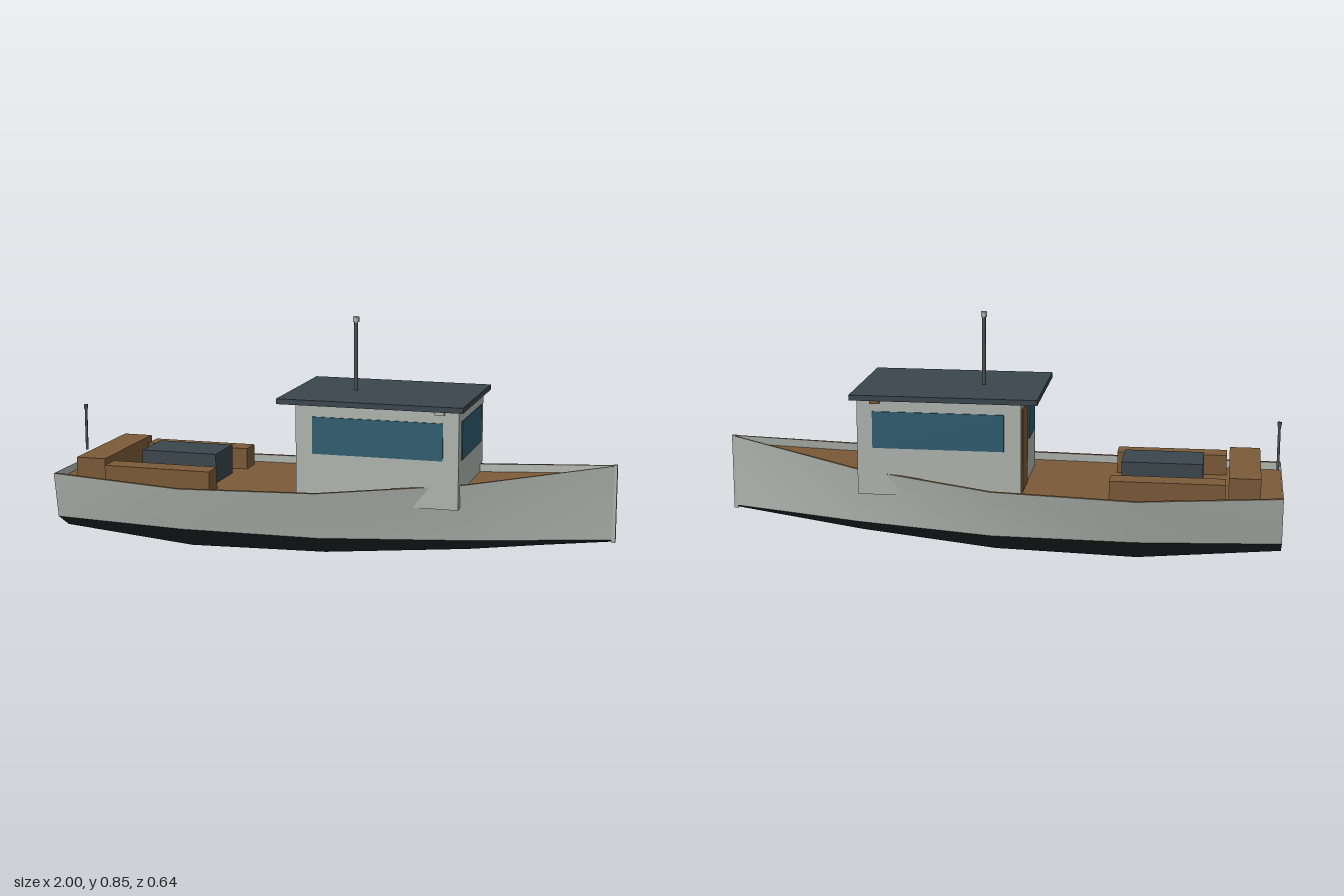
import * as THREE from 'three';

const mat = (name, color) => new THREE.MeshStandardMaterial({ name, color, side: THREE.DoubleSide });

// Hull stations along the length:
// x, sheer [half width, y], waterline half width, chine [half width, y], keel y
const WATERLINE = 0.11;
const STATIONS = [
  { x: -1.0, w: 0.258, top: 0.277, wl: 0.228, cw: 0.145, cy: 0.06, keel: 0.045 },
  { x: -0.5, w: 0.319, top: 0.265, wl: 0.28, cw: 0.175, cy: 0.025, keel: 0.003 },
  { x: 0.0, w: 0.300, top: 0.276, wl: 0.268, cw: 0.165, cy: 0.034, keel: 0.01 },
  { x: 0.5, w: 0.183, top: 0.312, wl: 0.156, cw: 0.095, cy: 0.064, keel: 0.042 },
  { x: 0.995, w: 0.007, top: 0.373, wl: 0.006, cw: 0.004, cy: 0.106, keel: 0.103 },
];
const RAIL = 0.014;
const BULWARK = 0.028;

// Surface through a row of points [z, y] taken at every station
function loft(rowAt) {
  const rows = STATIONS.map(s => rowAt(s).map(([z, y]) => [s.x, y, z]));
  const n = rows[0].length;
  const index = [];
  for (let i = 0; i < rows.length - 1; i++) {
    for (let j = 0; j < n - 1; j++) {
      const a = i * n + j, b = a + n;
      index.push(a, b, a + 1, b, b + 1, a + 1);
    }
  }
  const g = new THREE.BufferGeometry();
  g.setAttribute('position', new THREE.Float32BufferAttribute(rows.flat(2), 3));
  g.setIndex(index);
  g.computeVertexNormals();
  return g;
}

export function createModel() {
  const boat = new THREE.Group();
  boat.name = 'boat';
  const paint = mat('pale grey paint', 0xb0b6b0);
  const bottomPaint = mat('dark bottom paint', 0x1d2628);
  const wood = mat('brown wood', 0x7b5a38);
  const slate = mat('dark slate', 0x3a464d);
  const glass = mat('blue glass', 0x2f5d70);
  const metal = mat('mast grey', 0x4b5354);

  const add = (name, geometry, material, parent = boat) => {
    const m = new THREE.Mesh(geometry, material);
    m.name = name;
    parent.add(m);
    return m;
  };
  // Box given by its limits on each axis
  const box = (name, material, [x0, x1], [y0, y1], [z0, z1], parent) => {
    const m = add(name, new THREE.BoxGeometry(x1 - x0, y1 - y0, z1 - z0), material, parent);
    m.position.set((x0 + x1) / 2, (y0 + y1) / 2, (z0 + z1) / 2);
    return m;
  };
  const pole = (name, material, r, x, y0, y1) => {
    const m = add(name, new THREE.CylinderGeometry(r, r, y1 - y0, 10), material);
    m.position.set(x, (y0 + y1) / 2, 0);
  };

  // Hull
  const inner = s => Math.max(s.w - RAIL, 0.001);
  for (const [label, d] of [['starboard', 1], ['port', -1]]) {
    add(label + 'Topside', loft(s => [[d * s.w, s.top], [d * s.wl, WATERLINE]]), paint);
    add(label + 'Rail', loft(s => [[d * s.w, s.top], [d * inner(s), s.top]]), wood);
    add(label + 'Bulwark', loft(s => [[d * inner(s), s.top], [d * inner(s), s.top - BULWARK]]), paint);
  }
  add('hullBottom', loft(s => [
    [s.wl, WATERLINE], [s.cw, s.cy], [0, s.keel], [-s.cw, s.cy], [-s.wl, WATERLINE],
  ]), bottomPaint);
  add('deck', loft(s => [[inner(s), s.top - BULWARK], [-inner(s), s.top - BULWARK]]), wood);

  // Transom closing the stern
  const a = STATIONS[0];
  const outline = [[a.w, a.top], [a.wl, WATERLINE], [a.cw, a.cy], [0, a.keel],
    [-a.cw, a.cy], [-a.wl, WATERLINE], [-a.w, a.top]];
  const transom = add('transom', new THREE.ShapeGeometry(
    new THREE.Shape(outline.map(([z, y]) => new THREE.Vector2(z, y)))), paint);
  transom.rotation.y = -Math.PI / 2;
  transom.position.x = a.x;
  box('stem', paint, [0.985, 1], [0.1, 0.375], [-0.008, 0.008]);

  // Wheelhouse
  const house = new THREE.Group();
  house.name = 'wheelhouse';
  boat.add(house);
  box('cabinWalls', paint, [-0.095, 0.485], [0.228, 0.574], [-0.21, 0.21], house);
  box('roof', slate, [-0.155, 0.505], [0.573, 0.592], [-0.245, 0.245], house);
  box('frontWindow', glass, [0.483, 0.489], [0.395, 0.531], [-0.167, 0.167], house);
  box('rearWindow', glass, [-0.099, -0.093], [0.395, 0.531], [0.01, 0.165], house);
  box('door', wood, [-0.099, -0.093], [0.25, 0.545], [-0.185, -0.045], house);
  for (const d of [1, -1]) {
    const z = [d * 0.211 - 0.003, d * 0.211 + 0.003];
    box('sideWindow', glass, [-0.035, 0.43], [0.398, 0.529], z, house);
    box('sideLight', d > 0 ? paint : wood, [0.402, 0.436], [0.558, 0.573],
      [d * 0.216 - 0.007, d * 0.216 + 0.007], house);
  }

  // Mast and stern pole with their lamps
  pole('mast', metal, 0.007, 0.065, 0.59, 0.838);
  pole('mastLamp', paint, 0.011, 0.065, 0.836, 0.855);
  pole('sternPole', metal, 0.005, -0.983, 0.315, 0.475);
  pole('sternLamp', metal, 0.008, -0.983, 0.472, 0.486);

  // Cockpit seats and engine box
  for (const d of [1, -1]) {
    box('sideBench', wood, [-0.803, -0.405], [0.23, 0.317], [d * 0.207 - 0.042, d * 0.207 + 0.042]);
  }
  box('sternSeat', wood, [-0.923, -0.813], [0.23, 0.335], [-0.223, 0.223]);
  box('engineBox', slate, [-0.722, -0.437], [0.23, 0.346], [-0.09, 0.09]);
  return boat;
}
